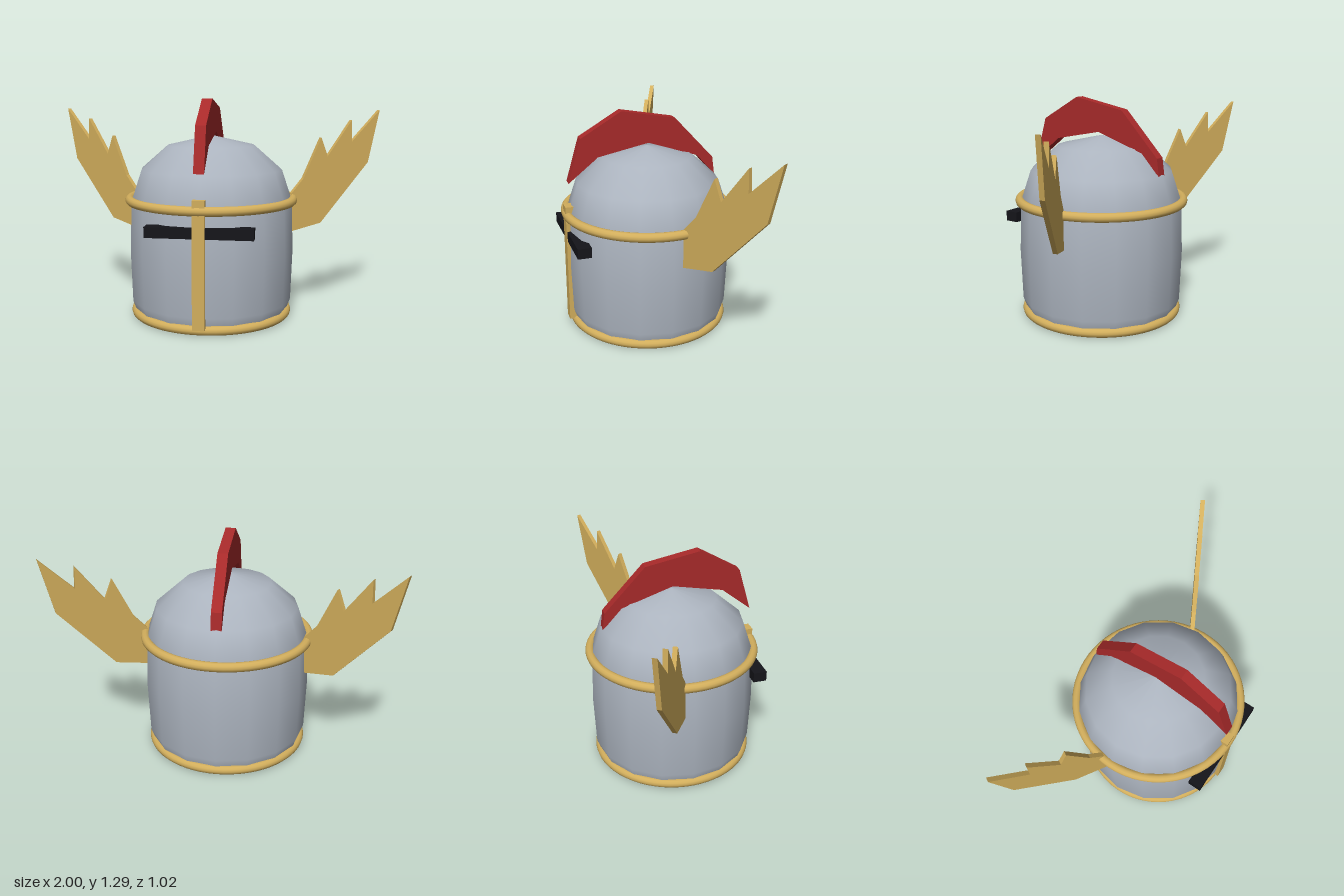
import * as THREE from 'three';

const paint = (color) => new THREE.MeshStandardMaterial({ color });
const steel = paint(0xacb4bf);
steel.side = THREE.DoubleSide;
const gold = paint(0xd2ae5c);
const red = paint(0xa82a2a);
const black = paint(0x15151a);

const points = (list) => list.map(([x, y]) => new THREE.Vector2(x, y));

// Flat plate cut from an outline, centred on its own thickness
function plate(outline, depth) {
  const geometry = new THREE.ExtrudeGeometry(new THREE.Shape(points(outline)), { depth, bevelEnabled: false });
  return geometry.translate(0, 0, -depth / 2);
}

export function createModel() {
  const helmet = new THREE.Group();
  helmet.name = 'helmet';

  function add(name, geometry, material, x = 0, y = 0, z = 0) {
    const mesh = new THREE.Mesh(geometry, material);
    mesh.name = name;
    mesh.position.set(x, y, z);
    helmet.add(mesh);
    return mesh;
  }

  // Open-bottomed shell with a domed top
  const profile = points([[0.455, 0.03], [0.48, 0.1], [0.49, 0.4], [0.48, 0.7], [0.42, 0.88], [0.26, 1.02], [0, 1.08]]);
  add('shell', new THREE.LatheGeometry(profile, 16), steel);

  // Rolled trim rings
  for (const [name, radius, y] of [['bottomRing', 0.455, 0.028], ['browRing', 0.485, 0.7]]) {
    add(name, new THREE.TorusGeometry(radius, 0.027, 12, 64), gold, 0, y, 0).rotation.x = Math.PI / 2;
  }

  // Face: eye slit and nose bar
  add('eyeSlit', new THREE.BoxGeometry(0.6, 0.06, 0.08), black, 0, 0.58, 0.455);
  add('noseBar', new THREE.BoxGeometry(0.07, 0.72, 0.06), gold, 0, 0.4, 0.47);

  // Crest running front to back; outline is (z, y)
  const crest = [
    [0.475, 0.9], [0.4, 1.155], [0.16, 1.295], [-0.16, 1.235], [-0.4, 0.98],
    [-0.415, 0.875], [-0.3, 1.0], [0, 1.1], [0.3, 1.04],
  ];
  add('crest', plate(crest, 0.06), red).rotation.y = -Math.PI / 2;

  // Swept-back wings; outline is (sideways reach, y)
  const sweep = 0.51, root = 0.47;
  const wing = [
    [0.47, 0.5], [0.645, 0.54], [0.928, 0.9], [0.992, 1.22], [0.825, 1.03], [0.82, 1.16],
    [0.68, 0.945], [0.64, 1.06], [0.54, 0.82], [0.47, 0.73],
  ].map(([x, y]) => [(x - root) / Math.cos(sweep), y]);
  const wingGeometry = plate(wing, 0.026);
  add('leftWing', wingGeometry, gold, root, 0, -0.067).rotation.y = sweep;
  add('rightWing', wingGeometry, gold, -root, 0, -0.067).rotation.y = Math.PI - sweep;

  return helmet;
}
